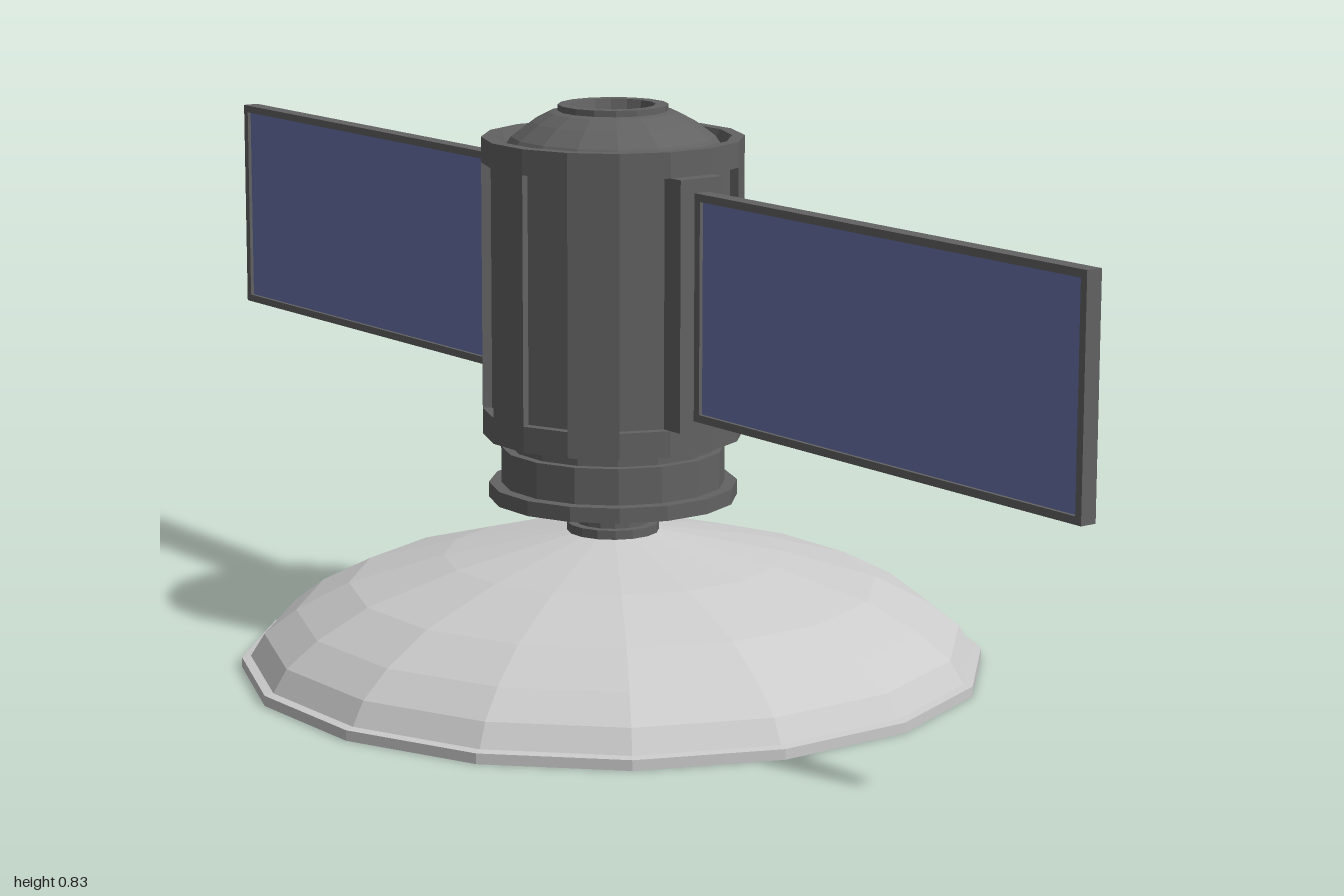
import * as THREE from 'three';

const SIDES = 16;
const HALF = Math.PI / SIDES;
const K = 1 / Math.cos(HALF); // flat-to-flat radius -> corner radius

const mat = (color) => new THREE.MeshStandardMaterial({ color, flatShading: true });

export function createModel() {
  const model = new THREE.Group();
  const light = mat(0xcccccc);
  const dark = mat(0x626262);
  const blue = mat(0x6874ac);

  function add(name, geometry, material, parent = model) {
    const mesh = new THREE.Mesh(geometry, material);
    mesh.name = name;
    parent.add(mesh);
    return mesh;
  }

  // Faceted turned part; profile runs bottom to top as [flat radius, y]
  function turned(name, profile, material) {
    const pts = profile.map(([r, y]) => new THREE.Vector2(r * K, y));
    return add(name, new THREE.LatheGeometry(pts, SIDES, HALF), material);
  }

  function box(name, x0, x1, y0, y1, depth, material, parent) {
    const g = new THREE.BoxGeometry(x1 - x0, y1 - y0, depth);
    g.translate((x0 + x1) / 2, (y0 + y1) / 2, 0);
    return add(name, g, material, parent);
  }

  // Dish, opening downward, with a closed flat underside
  turned('dish', [
    [0.535, 0], [0.535, 0.015], [0.522, 0.017], [0.502, 0.05], [0.456, 0.086],
    [0.38, 0.126], [0.244, 0.166], [0.06, 0.203], [0, 0.203],
  ], light);
  turned('dishUnderside', [[0, 0], [0.535, 0]], dark);

  // Neck and stepped collar
  turned('neck', [[0.066, 0.195], [0.066, 0.215], [0.053, 0.215], [0.053, 0.26]], dark);
  turned('collar', [
    [0, 0.253], [0.178, 0.253], [0.178, 0.275], [0.16, 0.275], [0.16, 0.328],
    [0.147, 0.328], [0.147, 0.35],
  ], dark);

  // Body: plain bands above and below a middle with every other facet sunk
  const R = 0.186, Y0 = 0.385, Y1 = 0.745, SINK = 0.014;
  turned('bodyLowerBand', [[0, 0.347], [R, 0.347], [R, Y0], [0, Y0]], dark);
  const outline = [];
  for (let i = 0; i < SIDES; i++) {
    const mid = i * 2 * HALF;
    const corners = [mid - HALF, mid + HALF].map(
      (a) => new THREE.Vector2(Math.cos(a), Math.sin(a)).multiplyScalar(R * K));
    const inward = new THREE.Vector2(Math.cos(mid), Math.sin(mid)).multiplyScalar(-SINK);
    if (i % 2) outline.push(...corners.map((c) => c.add(inward)));
    else outline.push(...corners);
  }
  const middle = new THREE.ExtrudeGeometry(new THREE.Shape(outline), {
    depth: Y1 - Y0, bevelEnabled: false,
  });
  middle.rotateX(-Math.PI / 2).translate(0, Y0, 0);
  add('bodyPanels', middle, dark);

  // Top band with rim groove, dome and hollow hatch ring
  turned('bodyTop', [
    [0, Y1], [R, Y1], [R, 0.782], [0.168, 0.782], [0.162, 0.766], [0.155, 0.766],
    [0.144, 0.782], [0.115, 0.804], [0.09, 0.817], [0.078, 0.819], [0.078, 0.828],
    [0.06, 0.828], [0.054, 0.8], [0, 0.8],
  ], dark);

  // Solar wings, one per side
  const X0 = 0.206, X1 = 1, B = 0.4, T = 0.725, EDGE = 0.011, THICK = 0.025;
  for (const [name, turn] of [['leftWing', 0], ['rightWing', Math.PI]]) {
    const wing = new THREE.Group();
    wing.name = name;
    wing.rotation.y = turn;
    box('wingMount', 0.17, 0.208, Y0, Y1, 0.074, dark, wing);
    box('solarPanel', X0, X1 - EDGE / 2, B + EDGE / 2, T - EDGE / 2, 0.014, blue, wing);
    box('frameBottom', X0, X1, B, B + EDGE, THICK, dark, wing);
    box('frameTop', X0, X1, T - EDGE, T, THICK, dark, wing);
    box('frameInner', X0, X0 + 0.014, B + EDGE, T - EDGE, THICK, dark, wing);
    box('frameOuter', X1 - EDGE, X1, B + EDGE, T - EDGE, THICK, dark, wing);
    model.add(wing);
  }

  return model;
}
